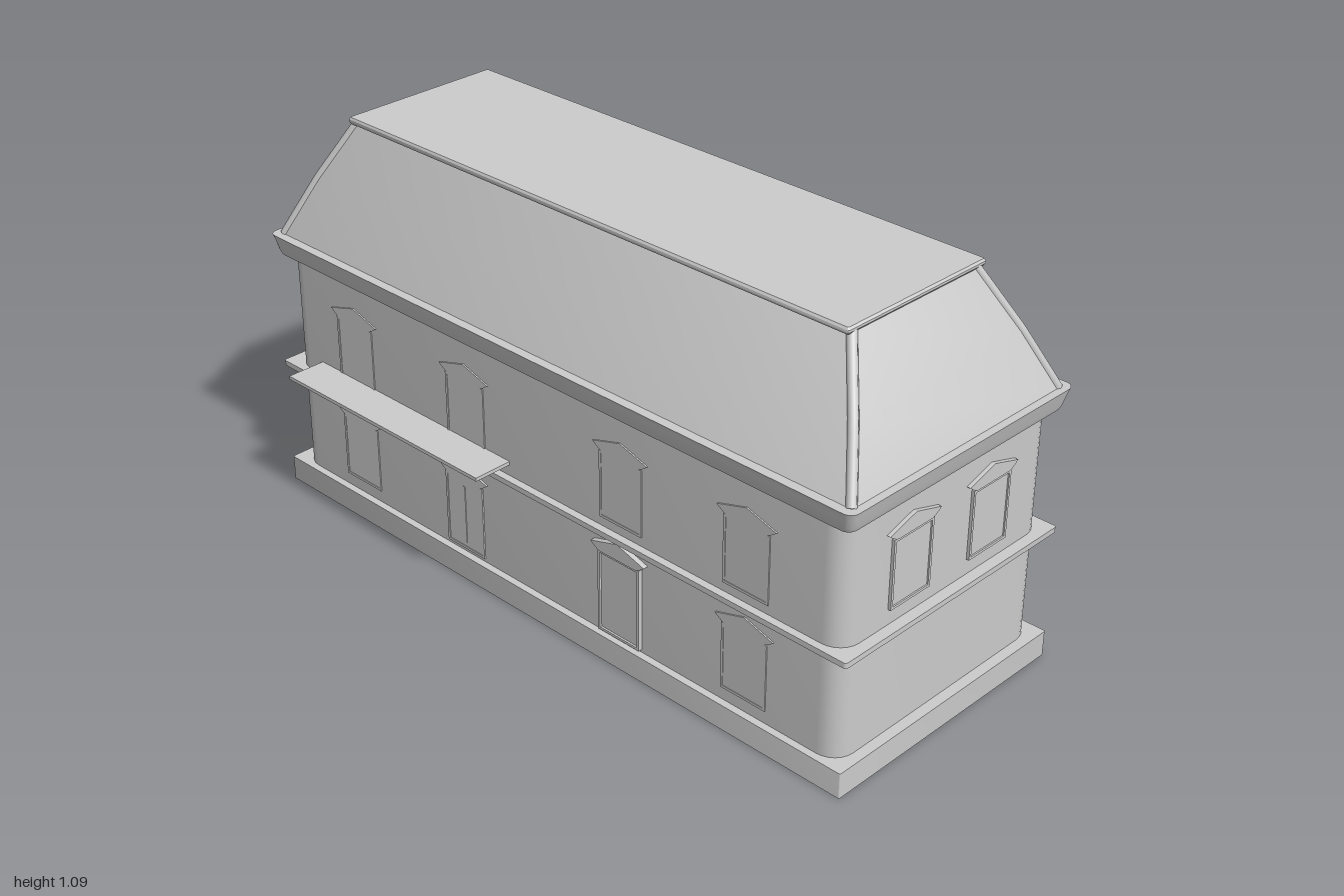
import * as THREE from 'three';
import { toCreasedNormals } from 'three/addons/utils/BufferGeometryUtils.js';

const ZC = -0.009; // the building sits slightly behind centre
const material = new THREE.MeshStandardMaterial({ color: 0xcccccc, side: THREE.DoubleSide });

// Rounded rectangle in plan, as a ring of points
function ring([y, hx, hz, r]) {
  const pts = [];
  const signs = [[1, 1], [-1, 1], [-1, -1], [1, -1]];
  signs.forEach(([sx, sz], c) => {
    for (let i = 0; i <= 6; i++) {
      const a = (c + i / 6) * Math.PI / 2;
      pts.push([sx * (hx - r) + r * Math.cos(a), y, sz * (hz - r) + r * Math.sin(a)]);
    }
  });
  return pts;
}

// Skin through rings [y, halfX, halfZ, cornerRadius], with optional end caps
function loft(name, sections, capBottom = false, capTop = false) {
  const rings = sections.map(ring);
  const n = rings[0].length;
  const pos = [];
  for (let s = 0; s < rings.length - 1; s++) {
    for (let i = 0; i < n; i++) {
      const j = (i + 1) % n;
      const a = rings[s][i], b = rings[s][j], c = rings[s + 1][j], d = rings[s + 1][i];
      pos.push(...a, ...c, ...b, ...a, ...d, ...c);
    }
  }
  const cap = (points, up) => {
    const mid = [0, points[0][1], 0];
    for (let i = 0; i < n; i++) {
      const a = points[i], b = points[(i + 1) % n];
      pos.push(...mid, ...(up ? b : a), ...(up ? a : b));
    }
  };
  if (capBottom) cap(rings[0], false);
  if (capTop) cap(rings[rings.length - 1], true);
  const g = new THREE.BufferGeometry();
  g.setAttribute('position', new THREE.Float32BufferAttribute(pos, 3));
  const mesh = new THREE.Mesh(toCreasedNormals(g, 0.45), material);
  mesh.name = name;
  mesh.position.z = ZC;
  return mesh;
}

function box(name, w, h, d, x, y, z) {
  const mesh = new THREE.Mesh(new THREE.BoxGeometry(w, h, d), material);
  mesh.name = name;
  mesh.position.set(x, y, z);
  return mesh;
}

// Window or door facing +z, origin at the bottom middle of its frame
function opening(name, height, depth, isDoor = false) {
  const g = new THREE.Group();
  g.name = name;
  const w = 0.07, t = 0.007;
  const frame = new THREE.Shape();
  frame.moveTo(-w, 0).lineTo(w, 0).lineTo(w, height).lineTo(-w, height).closePath();
  const hole = new THREE.Path();
  hole.moveTo(-w + t, t).lineTo(-w + t, height - t).lineTo(w - t, height - t).lineTo(w - t, t).closePath();
  frame.holes.push(hole);
  const extrude = (shape, d, label) => {
    const mesh = new THREE.Mesh(new THREE.ExtrudeGeometry(shape, { depth: d, bevelEnabled: false }), material);
    mesh.name = label;
    g.add(mesh);
  };
  extrude(frame, depth, 'frame');
  g.add(box('pane', 2 * (w - t), height - 2 * t, depth * 0.5, 0, height / 2, depth * 0.25));
  if (isDoor) g.add(box('doorGap', 0.006, height * 0.8, depth, 0, height * 0.5, depth * 0.5));
  // Pitched hood with a curved underside
  const hood = new THREE.Shape();
  hood.moveTo(-0.09, height + 0.018);
  hood.quadraticCurveTo(-0.075, height + 0.005, -0.06, height);
  hood.lineTo(0.06, height);
  hood.quadraticCurveTo(0.075, height + 0.005, 0.09, height + 0.018);
  hood.lineTo(0, height + 0.045);
  hood.closePath();
  extrude(hood, depth * 1.3, 'hood');
  return g;
}

export function createModel() {
  const model = new THREE.Group();
  model.name = 'building';

  // Plinth with a recessed underside
  model.add(loft('plinth', [
    [0.06, 0.965, 0.36, 0.01], [0, 0.965, 0.36, 0.01], [0, 0.995, 0.39, 0.004],
    [0.07, 0.995, 0.39, 0.004], [0.07, 0.95, 0.35, 0.004],
  ], true));

  // Walls, belt course and eaves moulding
  model.add(loft('walls', [[0.06, 0.966, 0.37, 0.06], [0.71, 0.966, 0.37, 0.06]]));
  model.add(loft('beltCourse', [
    [0.36, 0.95, 0.355, 0.02], [0.36, 0.996, 0.391, 0.008],
    [0.375, 0.996, 0.391, 0.008], [0.375, 0.95, 0.355, 0.02],
  ]));
  model.add(loft('eaves', [
    [0.702, 0.95, 0.355, 0.04], [0.702, 0.984, 0.387, 0.025], [0.715, 0.989, 0.392, 0.025],
    [0.74, 0.995, 0.397, 0.025], [0.758, 1, 0.402, 0.025], [0.758, 0.95, 0.35, 0.025],
  ]));

  // Mansard roof and its flat top
  const roof = [[0.755, 0.98, 0.378], [0.91, 0.915, 0.305], [1.072, 0.832, 0.222]];
  model.add(loft('roofSlopes', roof.map(([y, x, z]) => [y, x, z, 0.004])));
  model.add(loft('roofTop', [
    [1.068, 0.815, 0.21, 0.004], [1.068, 0.833, 0.237, 0.004], [1.074, 0.837, 0.24, 0.004],
    [1.08, 0.837, 0.24, 0.004], [1.086, 0.833, 0.237, 0.004],
  ], true, true));

  // Hip rails along the four roof corners
  for (const sx of [-1, 1]) for (const sz of [-1, 1]) {
    const path = new THREE.CurvePath();
    const p = roof.map(([y, x, z]) => new THREE.Vector3(sx * (x - 0.008), y, ZC + sz * (z - 0.008)));
    path.add(new THREE.LineCurve3(p[0], p[1]));
    path.add(new THREE.LineCurve3(p[1], p[2]));
    const rail = new THREE.Mesh(new THREE.TubeGeometry(path, 12, 0.013, 8), material);
    rail.name = 'hipRail';
    model.add(rail);
  }

  const place = (part, x, y, z, turn) => {
    part.position.set(x, y, z);
    part.rotation.y = turn;
    model.add(part);
  };

  // Long sides: four bays on two floors
  const frontZ = ZC + 0.37, backZ = ZC - 0.37;
  for (const x of [-0.7, -0.27, 0.28, 0.68]) {
    place(opening('frontUpperWindow', 0.185, 0.003), x, 0.4, frontZ, 0);
    place(opening('backUpperWindow', 0.185, 0.003), x, 0.4, backZ, Math.PI);
    const door = x === 0.28, slimDoor = x === -0.27;
    if (door) place(opening('frontDoor', 0.232, 0.011), x, 0.078, frontZ, 0);
    else if (slimDoor) place(opening('frontDoubleDoor', 0.21, 0.004, true), -0.285, 0.08, frontZ, 0);
    else place(opening('frontLowerWindow', 0.185, 0.003), x, 0.105, frontZ, 0);
    const backDoor = x === -0.7;
    place(opening(backDoor ? 'backDoor' : 'backLowerWindow', backDoor ? 0.21 : 0.185, 0.003),
      x, backDoor ? 0.08 : 0.105, backZ, Math.PI);
  }

  // End windows
  for (const z of [0.135, -0.15]) place(opening('endWindow', 0.187, 0.008), 0.966, 0.417, z, Math.PI / 2);
  place(opening('endWindow', 0.187, 0.008), -0.966, 0.417, 0.135, -Math.PI / 2);
  place(opening('endLowerWindow', 0.187, 0.008), -0.966, 0.105, -0.15, -Math.PI / 2);

  // Balcony slabs
  model.add(box('frontBalcony', 0.74, 0.01, 0.12, -0.48, 0.411, 0.413));
  for (const x of [-0.7, -0.28]) model.add(box('backBalcony', 0.285, 0.01, 0.11, x, 0.411, -0.42));

  return model;
}
